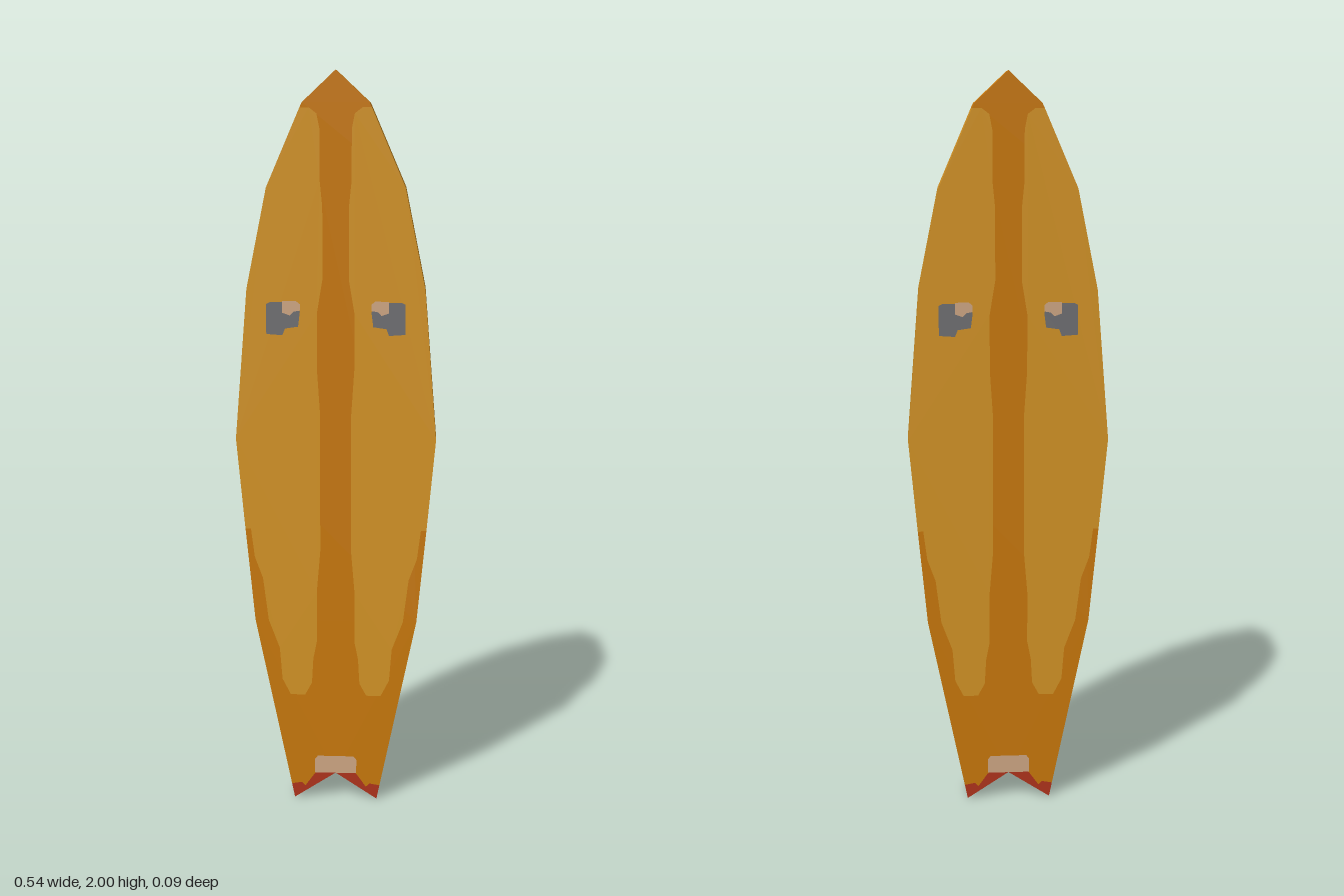
import * as THREE from 'three';
import { mergeGeometries } from 'three/addons/utils/BufferGeometryUtils.js';

const mat = (name, color) => new THREE.MeshStandardMaterial({ name, color });
const HALF = 0.042; // half thickness of the board

// Half outline from the tail notch up to the nose, with the colour of each rim segment
const RIM = [
  [0, 0.075, 'red'], [0.115, 0, 'orange'], [0.222, 0.52, 'orange'], [0.247, 0.78, 'amber'],
  [0.27, 1.03, 'amber'], [0.237, 1.435, 'amber'], [0.183, 1.7, 'amber'],
  [0.094, 1.905, 'orange'], [0.088, 1.918, 'orange'], [0, 2],
];

// Painted areas of one half, mirrored to the other
const SIDE_PANEL = [
  [0.05, 1.89], [0.042, 1.85], [0.042, 1.72], [0.035, 1.65], [0.035, 1.46], [0.05, 1.37], [0.05, 1.22],
  [0.042, 1.1], [0.042, 0.72], [0.052, 0.6], [0.052, 0.46], [0.062, 0.41], [0.066, 0.34],
  [0.085, 0.305], [0.125, 0.305], [0.148, 0.35], [0.155, 0.44], [0.185, 0.52], [0.2, 0.64],
  [0.222, 0.7], [0.232, 0.78], [0.247, 0.78], [0.27, 1.03], [0.237, 1.435], [0.183, 1.7],
  [0.094, 1.905], [0.07, 1.905],
];
const EYE = [
  [0.185, 1.395], [0.185, 1.315], [0.142, 1.312], [0.135, 1.33], [0.1, 1.335],
  [0.095, 1.375], [0.115, 1.4], [0.175, 1.4],
];
const GLINT = [[0.095, 1.395], [0.105, 1.403], [0.142, 1.403], [0.142, 1.372], [0.122, 1.365], [0.112, 1.375], [0.095, 1.378]];
const TAIL_TIP = [[0.115, 0], [0.123, 0.04], [0.095, 0.045], [0.085, 0.035], [0.06, 0.07], [0.05, 0.08], [0, 0.08], [0, 0.075]];
const MOUTH = [[-0.05, 0.125], [-0.058, 0.115], [-0.058, 0.075], [0.058, 0.075], [0.058, 0.115], [0.05, 0.125]];

const flat = (points, side = 1) =>
  new THREE.ShapeGeometry(new THREE.Shape(points.map(([x, y]) => new THREE.Vector2(x * side, y))));

// One rim quad facing outward, a to b running anticlockwise
function rimQuad([ax, ay], [bx, by]) {
  const g = new THREE.BufferGeometry();
  g.setAttribute('position', new THREE.Float32BufferAttribute([
    ax, ay, HALF, ax, ay, -HALF, bx, by, -HALF, bx, by, HALF], 3));
  g.setIndex([0, 1, 2, 0, 2, 3]);
  g.computeVertexNormals();
  return g;
}

export function createModel() {
  const model = new THREE.Group();
  model.name = 'flatFish';
  const mats = {
    orange: mat('orange', 0xcb7a0c),
    amber: mat('amber', 0xd69526),
    red: mat('red', 0xb2341c),
    grey: mat('grey', 0x717174),
    tan: mat('tan', 0xd2a986),
  };

  // Rim, one mesh per colour
  const rims = {};
  for (let i = 0; i < RIM.length - 1; i++) {
    const a = RIM[i], b = RIM[i + 1];
    (rims[a[2]] ??= []).push(rimQuad(a, b), rimQuad([-b[0], b[1]], [-a[0], a[1]]));
  }
  for (const [color, quads] of Object.entries(rims)) {
    const rim = new THREE.Mesh(mergeGeometries(quads), mats[color]);
    rim.name = `${color}Rim`;
    model.add(rim);
  }

  // Both broad faces carry the same markings
  const outline = [...RIM, ...RIM.slice(1, -1).reverse().map(([x, y]) => [-x, y])];
  const both = (points) => mergeGeometries([flat(points), flat(points, -1)]);
  const layers = [
    ['body', flat(outline), 'orange', 0],
    ['sidePanels', both(SIDE_PANEL), 'amber', 0.001],
    ['tailTips', both(TAIL_TIP), 'red', 0.001],
    ['eyes', both(EYE), 'grey', 0.002],
    ['eyeGlints', both(GLINT), 'tan', 0.003],
    ['tailPatch', flat(MOUTH), 'tan', 0.002],
  ];
  for (const name of ['frontFace', 'backFace']) {
    const face = new THREE.Group();
    face.name = name;
    if (name === 'backFace') face.rotation.y = Math.PI;
    for (const [part, geometry, color, lift] of layers) {
      const mesh = new THREE.Mesh(geometry, mats[color]);
      mesh.name = part;
      mesh.position.z = HALF + lift;
      face.add(mesh);
    }
    model.add(face);
  }
  return model;
}
